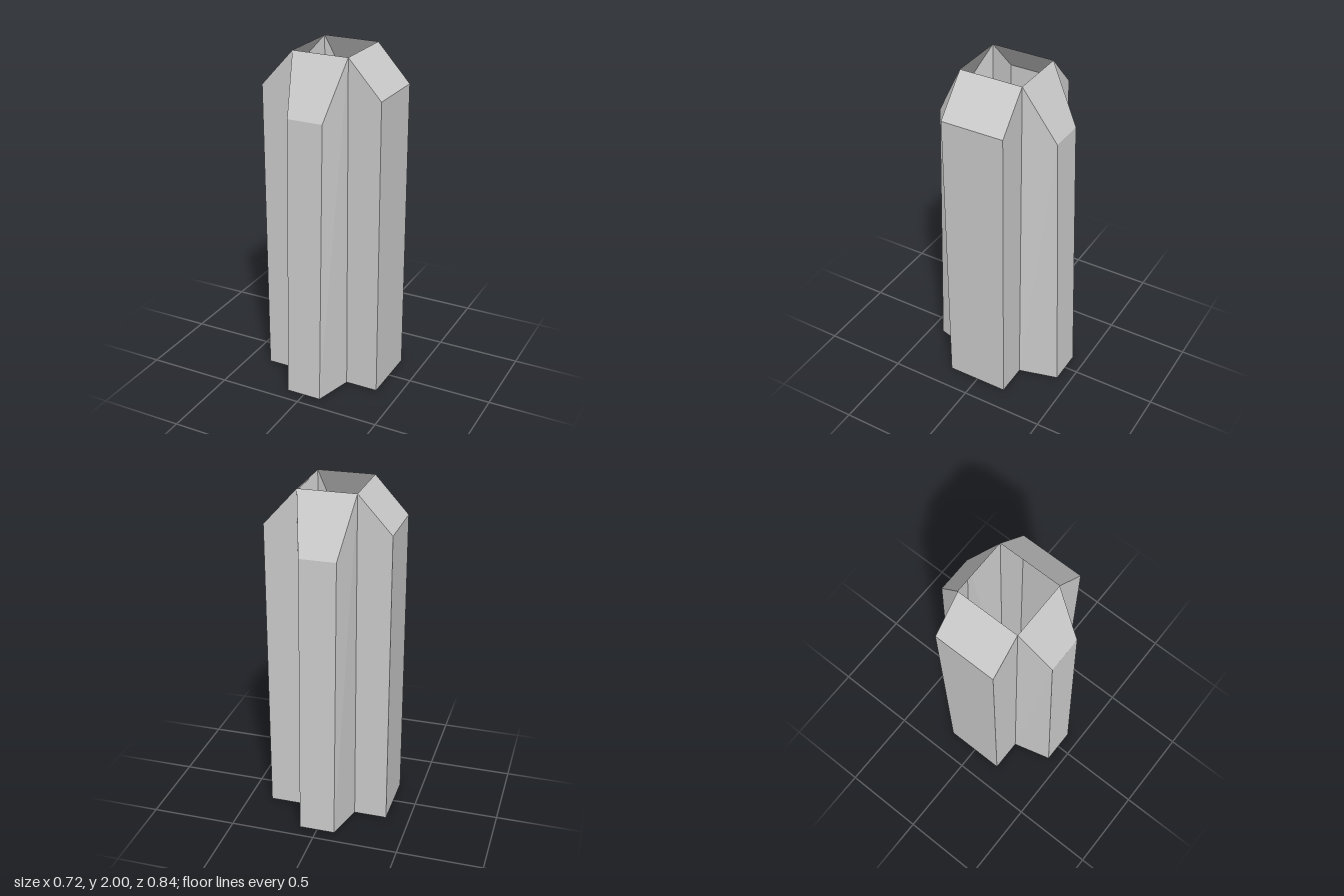
import * as THREE from 'three';

const HEIGHT = 2;
const CORE_X = 0.167; // half width of the open core
const CORE_Z = 0.187; // half depth of the open core

const material = new THREE.MeshStandardMaterial({
  color: 0xcccccc, flatShading: true, side: THREE.DoubleSide,
});

// Open bay facing +z: two side walls, an outer wall and a sloping roof
function bayGeometry({ innerHalf, outerHalf, inner, base, shoulder, shoulderY }) {
  const section = [
    [[innerHalf, 0, inner], [outerHalf, 0, base]],
    [[innerHalf, HEIGHT, inner], [outerHalf, shoulderY, shoulder]],
  ];
  const [[inR, outR], [topR, shR]] = section;
  const flip = ([x, y, z]) => [-x, y, z];
  const [inL, outL, topL, shL] = [inR, outR, topR, shR].map(flip);

  const quads = [
    [outL, outR, shR, shL], // outer wall
    [shL, shR, topR, topL], // sloping roof
    [outR, inR, topR, shR], // side walls
    [inL, outL, shL, topL],
  ];
  const positions = quads.flatMap(([a, b, c, d]) => [a, b, c, a, c, d].flat());
  const geometry = new THREE.BufferGeometry();
  geometry.setAttribute('position', new THREE.Float32BufferAttribute(positions, 3));
  geometry.computeVertexNormals();
  return geometry;
}

export function createModel() {
  const model = new THREE.Group();
  model.name = 'openShaft';

  // Tapered bays at front and back
  const tapered = bayGeometry({
    innerHalf: CORE_X, outerHalf: 0.105, inner: CORE_Z,
    base: 0.42, shoulder: 0.367, shoulderY: 1.675,
  });
  // Straight bays on the left and right
  const straight = bayGeometry({
    innerHalf: CORE_Z, outerHalf: CORE_Z, inner: CORE_X,
    base: 0.362, shoulder: 0.362, shoulderY: 1.785,
  });

  const bays = [
    ['frontBay', tapered, 0],
    ['leftBay', straight, Math.PI / 2],
    ['backBay', tapered, Math.PI],
    ['rightBay', straight, -Math.PI / 2],
  ];
  for (const [name, geometry, angle] of bays) {
    const bay = new THREE.Mesh(geometry, material);
    bay.name = name;
    bay.rotation.y = angle;
    model.add(bay);
  }
  return model;
}
